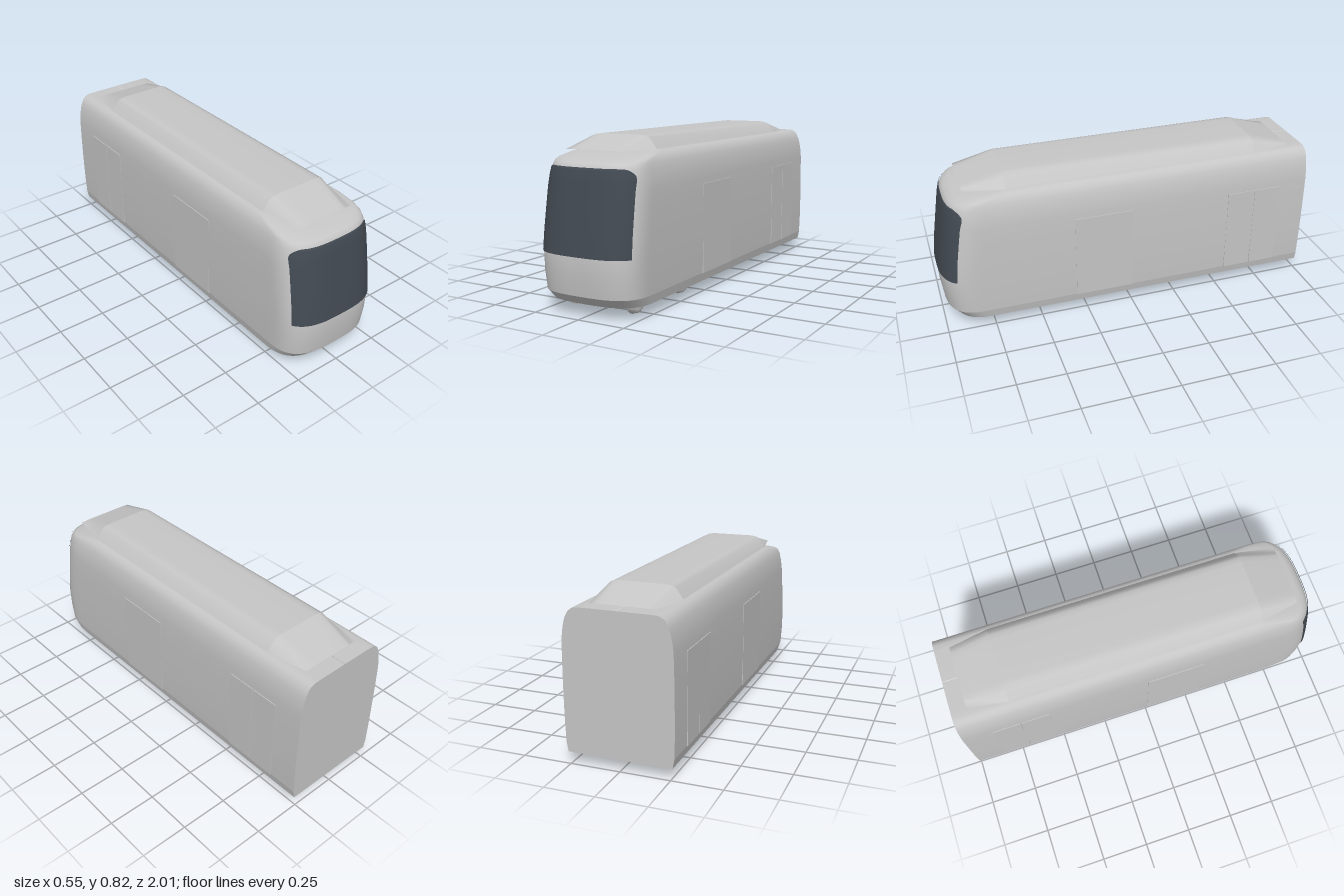
import * as THREE from 'three';

const paint = new THREE.MeshStandardMaterial({ color: 0xc6c6c6 });
paint.name = 'light grey paint';
const glass = new THREE.MeshStandardMaterial({ color: 0x434a52 });
glass.name = 'dark glass';

// Body levels: height, half width, nose z, depth of the rounded front corner
const LEVELS = [
  [0.065, 0.26, 0.945, 0.2], [0.11, 0.269, 0.985, 0.2], [0.2, 0.272, 0.997, 0.2],
  [0.3, 0.273, 1.0, 0.2], [0.4, 0.273, 0.987, 0.2], [0.5, 0.272, 0.971, 0.2],
  [0.6, 0.27, 0.955, 0.2], [0.65, 0.265, 0.947, 0.2], [0.69, 0.257, 0.938, 0.19],
  [0.715, 0.249, 0.92, 0.17], [0.728, 0.243, 0.89, 0.15], [0.745, 0.233, 0.8, 0.12],
  [0.758, 0.217, 0.715, 0.1], [0.764, 0.2, 0.67, 0.08], [0.7655, 0.17, 0.64, 0.07],
  [0.766, 0.001, 0.6, 0.05],
];
const POWER = 3;

function levelAt(y) {
  let k = 0;
  while (k < LEVELS.length - 2 && y > LEVELS[k + 1][0]) k++;
  const a = LEVELS[k], b = LEVELS[k + 1];
  const t = (y - a[0]) / (b[0] - a[0]);
  return a.map((v, i) => v + (b[i] - v) * t);
}

// Front surface of the nose at a given x and y
function noseZ(x, y) {
  const [, w, zf, d] = levelAt(y);
  const s = Math.min(1, Math.abs(x) / w);
  return zf - d * (1 - Math.pow(1 - Math.pow(s, POWER), 1 / POWER));
}

// Plan outline of one level, from the left rear round the nose to the right rear
function outline([y, w, zf, d]) {
  const pts = [[w, y, -1], [w, y, -0.3], [w, y, 0.3]];
  const n = 48;
  for (let i = 0; i <= n; i++) {
    const t = (Math.PI * i) / n;
    const c = Math.cos(t), s = Math.max(0, Math.sin(t));
    pts.push([
      w * Math.sign(c) * Math.pow(Math.abs(c), 2 / POWER), y,
      zf - d + d * Math.pow(s, 2 / POWER),
    ]);
  }
  pts.push([-w, y, 0.3], [-w, y, -0.3], [-w, y, -1]);
  return pts;
}

// Skin over equal rows of points
function loft(rows) {
  const n = rows[0].length, index = [];
  for (let j = 0; j < rows.length - 1; j++) {
    for (let i = 0; i < n - 1; i++) {
      const a = j * n + i, b = a + 1, c = a + n, d = c + 1;
      index.push(a, c, b, b, c, d);
    }
  }
  const g = new THREE.BufferGeometry();
  g.setAttribute('position', new THREE.Float32BufferAttribute(rows.flat(2), 3));
  g.setIndex(index);
  g.computeVertexNormals();
  return g;
}

const flatShape = (pts) => new THREE.ShapeGeometry(
  new THREE.Shape(pts.map(([x, y]) => new THREE.Vector2(x, y))));

export function createModel() {
  const model = new THREE.Group();
  const add = (name, geometry, material = paint, x = 0, y = 0, z = 0) => {
    const mesh = new THREE.Mesh(geometry, material);
    mesh.name = name;
    mesh.position.set(x, y, z);
    model.add(mesh);
    return mesh;
  };

  // Shell, with a crease above the skirt
  add('skirt', loft(LEVELS.slice(0, 2).map(outline)));
  add('body', loft(LEVELS.slice(1).map(outline)));

  // Flat floor and rear wall
  const floor = flatShape(outline(LEVELS[0]).map(([x, , z]) => [x, z]));
  add('floor', floor.rotateX(Math.PI / 2), paint, 0, LEVELS[0][0], 0);
  const rear = [
    ...LEVELS.map(([y, w]) => [w, y]),
    ...LEVELS.map(([y, w]) => [-w, y]).reverse(),
  ];
  add('rearWall', flatShape(rear).rotateY(Math.PI), paint, 0, 0, -1);

  // Windscreen following the nose, with rounded top corners
  const heights = [0.297, 0.3, 0.4, 0.5, 0.6, 0.645, 0.65, 0.665, 0.678, 0.686, 0.69, 0.694, 0.697];
  add('windscreen', loft(heights.map((y) => {
    const t = Math.max(0, (y - 0.645) / 0.052);
    const h = y < 0.645
      ? 0.25 - 0.005 * (y - 0.297) / 0.348
      : 0.19 + 0.055 * Math.sqrt(Math.max(0, 1 - t * t));
    return Array.from({ length: 49 }, (_, i) => {
      const x = h * (1 - i / 24);
      return [x, y, noseZ(x, y) + 0.006];
    });
  })), glass);

  // Roof pod with sloping ends
  const podProfile = [[1, 0], [0.81, 0.8], [0.7, 0.94], [0.55, 1], [0, 1]];
  const podHalf = [...podProfile, ...podProfile.slice(0, 4).reverse().map(([x, y]) => [-x, y])];
  const podStations = [[0.85, 0.165, 0.003], [0.64, 0.204, 0.064], [-0.71, 0.204, 0.064], [-0.92, 0.168, 0.002]];
  const podBase = 0.766;
  const podRows = podStations.map(([z, w, h]) =>
    podHalf.map(([x, y]) => [x * w, podBase + y * h, z]));
  // The ends and the long middle shade separately
  for (let i = 0; i < 3; i++) {
    add(['roofPodFront', 'roofPodMiddle', 'roofPodRear'][i], loft(podRows.slice(i, i + 2)));
  }
  const podPlan = [
    ...podStations.map(([z, w]) => [w, z]),
    ...podStations.map(([z, w]) => [-w, z]).reverse(),
  ];
  add('roofPodUnderside', flatShape(podPlan).rotateX(Math.PI / 2), paint, 0, podBase, 0);

  // Door leaves on both sides: one single, one double
  const leaves = [[0.155, 0.31], [-0.616, 0.15], [-0.771, 0.15]];
  for (const side of [1, -1]) {
    for (const [z, width] of leaves) {
      add('doorLeaf', new THREE.BoxGeometry(0.008, 0.46, width), paint, side * 0.2705, 0.34, z);
    }
  }

  // Wheels with an inner flange, and their axles
  const wheelProfile = [[0, -0.016], [0.045, -0.016], [0.06, -0.012], [0.063, 0.006], [0.067, 0.009], [0.067, 0.014], [0, 0.014]]
    .map(([r, y]) => new THREE.Vector2(r, y));
  for (const z of [0.785, 0.37]) {
    for (const side of [1, -1]) {
      const wheel = add('wheel', new THREE.LatheGeometry(wheelProfile, 24), paint, side * 0.176, 0.072, z);
      wheel.rotation.z = side * Math.PI / 2;
    }
    const axle = add('axle', new THREE.CylinderGeometry(0.006, 0.006, 0.34, 10), paint, 0, 0.066, z);
    axle.rotation.z = Math.PI / 2;
  }
  add('bogiePlate', new THREE.BoxGeometry(0.32, 0.004, 0.42), paint, 0, 0.0645, 0.5775);

  return model;
}
